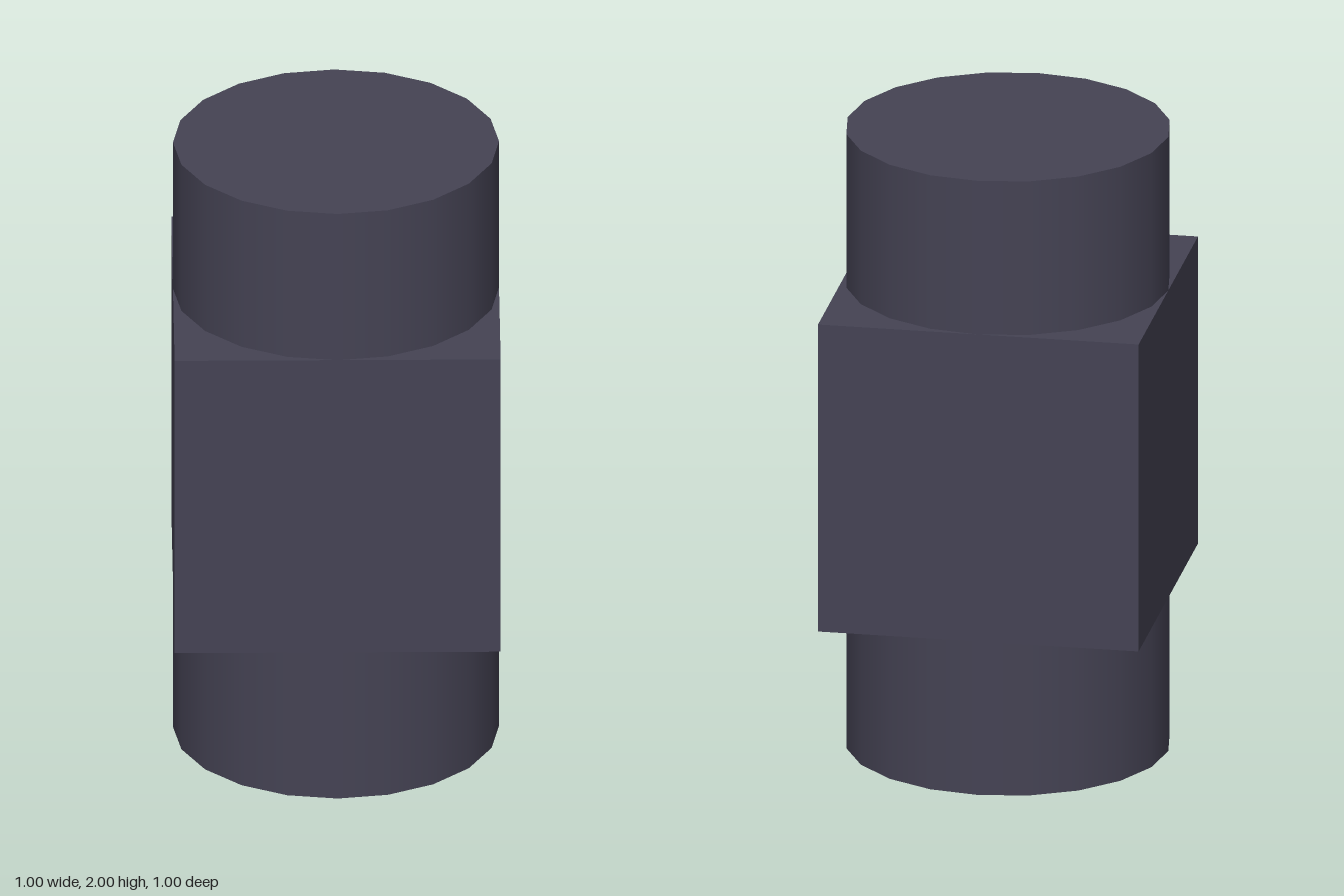
import * as THREE from 'three';

export function createModel() {
  const model = new THREE.Group();
  const material = new THREE.MeshStandardMaterial({ color: 0x454354 });

  function add(name, geometry) {
    const mesh = new THREE.Mesh(geometry, material);
    mesh.name = name;
    mesh.position.y = 1;
    model.add(mesh);
  }

  // Upright 20-sided post running the full height
  add('post', new THREE.CylinderGeometry(0.5, 0.5, 2, 20));

  // Cube collar around the middle of the post
  add('block', new THREE.BoxGeometry(1, 1, 1));

  return model;
}
